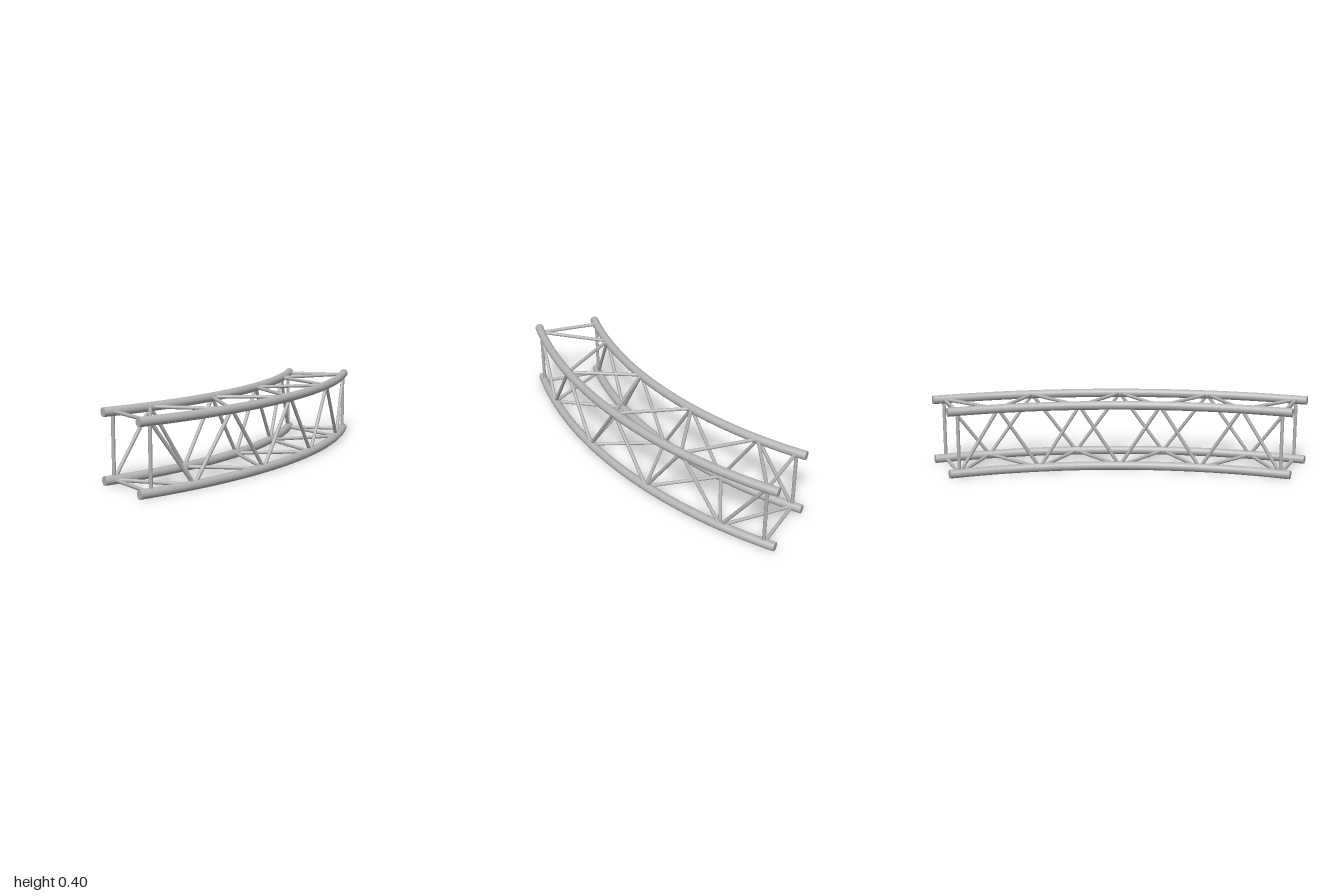
import * as THREE from 'three';
import { mergeGeometries } from 'three/addons/utils/BufferGeometryUtils.js';

const ARC = Math.PI / 4;
const INNER = 2.453, OUTER = 2.803;      // bend radii of the two sides
const CENTRE_X = -2.273, CENTRE_Z = 1;   // centre of the bend
const CHORD_R = 0.0245, BRACE_R = 0.0098;
const LOW = CHORD_R, HIGH = LOW + 0.35;
const BAYS = 8;
const MARGIN = THREE.MathUtils.degToRad(1.3);

// Point on a chord at bracing station k
function node(radius, y, k) {
  const a = MARGIN + (ARC - 2 * MARGIN) * k / BAYS;
  return new THREE.Vector3(CENTRE_X + radius * Math.cos(a), y, CENTRE_Z - radius * Math.sin(a));
}

// Curved main pipe with closed ends
function chordGeometry(radius) {
  const pipe = new THREE.TorusGeometry(radius, CHORD_R, 24, 48, ARC).rotateX(-Math.PI / 2);
  const startCap = new THREE.CircleGeometry(CHORD_R, 24).translate(radius, 0, 0);
  const endCap = new THREE.CircleGeometry(CHORD_R, 24).rotateY(Math.PI).translate(radius, 0, 0).rotateY(ARC);
  return mergeGeometries([pipe, startCap, endCap]);
}

export function createModel() {
  const group = new THREE.Group();
  const metal = new THREE.MeshStandardMaterial({ color: 0xb4b4b4 });
  metal.name = 'aluminium grey';

  function brace(name, a, b) {
    const dir = b.clone().sub(a);
    const mesh = new THREE.Mesh(new THREE.CylinderGeometry(BRACE_R, BRACE_R, dir.length(), 12), metal);
    mesh.name = name;
    mesh.position.copy(a).add(b).multiplyScalar(0.5);
    mesh.quaternion.setFromUnitVectors(new THREE.Vector3(0, 1, 0), dir.normalize());
    group.add(mesh);
  }

  // Four main chords
  for (const [side, radius] of [['inner', INNER], ['outer', OUTER]]) {
    for (const [level, y] of [['Lower', LOW], ['Upper', HIGH]]) {
      const chord = new THREE.Mesh(chordGeometry(radius), metal);
      chord.name = side + level + 'Chord';
      chord.position.set(CENTRE_X, y, CENTRE_Z);
      group.add(chord);
    }
  }

  // Square frames near both ends
  for (const k of [0, BAYS]) {
    for (const r of [INNER, OUTER]) brace('endPost', node(r, LOW, k), node(r, HIGH, k));
    for (const y of [LOW, HIGH]) brace('endStrut', node(INNER, y, k), node(OUTER, y, k));
  }

  // Zigzag lacing on all four faces, meeting at shared nodes
  for (let k = 0; k < BAYS; k++) {
    const even = k % 2 === 0;
    const [y0, y1] = even ? [LOW, HIGH] : [HIGH, LOW];
    const [r0, r1] = even ? [INNER, OUTER] : [OUTER, INNER];
    brace('innerDiagonal', node(INNER, y0, k), node(INNER, y1, k + 1));
    brace('outerDiagonal', node(OUTER, y1, k), node(OUTER, y0, k + 1));
    brace('lowerDiagonal', node(r0, LOW, k), node(r1, LOW, k + 1));
    brace('upperDiagonal', node(r1, HIGH, k), node(r0, HIGH, k + 1));
  }
  return group;
}
